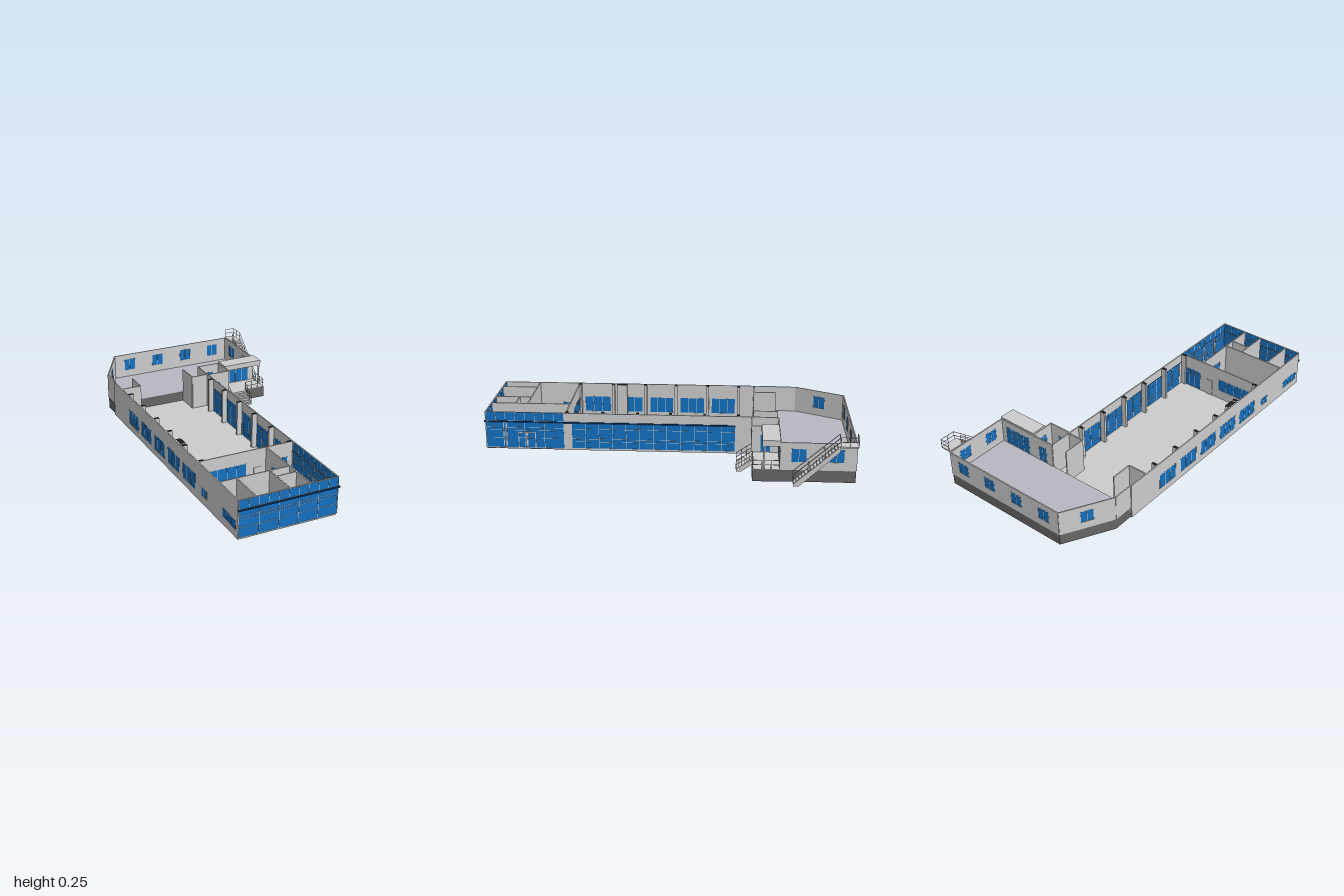
import * as THREE from 'three';

const mat = (color) => new THREE.MeshStandardMaterial({ color, side: THREE.DoubleSide });
const GREY = mat(0xcccccc), BLUE = mat(0x1470c0), NAVY = mat(0x0a3460), DARK = mat(0x666666);
const UPPER = mat(0xb9b6c0), BLACK = mat(0x202020);
const T = 0.006, H = 0.195, RAISED = 0.06, FLOOR = 0.008;

// Plan coordinates: a runs along the front, b runs back from the front.
export function createModel() {
  const model = new THREE.Group();
  const plan = new THREE.Group();
  plan.name = 'building';
  plan.rotation.y = Math.PI / 12;
  plan.position.set(-0.05, 0, 0.987);
  model.add(plan);

  const add = (name, geo, material, parent = plan) => {
    const m = new THREE.Mesh(geo, material);
    m.name = name;
    parent.add(m);
    return m;
  };
  // Box given by its extents in a, y and b
  const block = (name, a0, a1, y0, y1, b0, b1, material = GREY, parent = plan) => {
    const m = add(name, new THREE.BoxGeometry(a1 - a0, y1 - y0, b1 - b0), material, parent);
    m.position.set((a0 + a1) / 2, (y0 + y1) / 2, -(b0 + b1) / 2);
    return m;
  };
  // Horizontal slab from plan corners
  const slab = (name, pts, y0, y1, material) => {
    const shape = new THREE.Shape(pts.map(([a, b]) => new THREE.Vector2(a, b)));
    const geo = new THREE.ExtrudeGeometry(shape, { depth: y1 - y0, bevelEnabled: false });
    geo.rotateX(-Math.PI / 2).translate(0, y0, 0);
    return add(name, geo, material);
  };
  // Group whose x axis follows the line from p to q in plan
  const along = (name, p, q) => {
    const g = new THREE.Group();
    g.name = name;
    g.position.set(p[0], 0, -p[1]);
    g.rotation.y = Math.atan2(q[1] - p[1], q[0] - p[0]);
    plan.add(g);
    return g;
  };
  // Glass pane with mullions at equal columns and given heights
  const glazing = (g, s0, s1, y0, y1, cols = 2, rows = []) => {
    block('glass', s0, s1, y0, y1, -0.002, 0.002, BLUE, g);
    const w = 0.0012, d = 0.0035;
    for (let i = 0; i <= cols; i++) {
      const s = s0 + ((s1 - s0) * i) / cols;
      block('mullion', s - w, s + w, y0, y1, -d, d, GREY, g);
    }
    for (const y of [y0, ...rows, y1]) block('transom', s0, s1, y - w / 2, y + w / 2, -d, d, GREY, g);
  };
  // Wall with glazed openings [s0, s1, y0, y1, cols, rows]
  const wall = (name, p, q, y0, y1, openings = []) => {
    const g = along(name, p, q);
    const len = Math.hypot(q[0] - p[0], q[1] - p[1]);
    const rect = (C, x0, x1, v0, v1) => new C([[x0, v0], [x1, v0], [x1, v1], [x0, v1]].map(c => new THREE.Vector2(...c)));
    const shape = rect(THREE.Shape, 0, len, y0, y1);
    for (const o of openings) {
      shape.holes.push(rect(THREE.Path, o[0], o[1], o[2], o[3]));
      glazing(g, ...o);
    }
    const geo = new THREE.ExtrudeGeometry(shape, { depth: T, bevelEnabled: false });
    add('wallPanel', geo.translate(0, 0, -T / 2), GREY, g);
    return g;
  };
  // Thin rail between two points [a, y, b]
  const rod = (p, q) => {
    const P = new THREE.Vector3(p[0], p[1], -p[2]), Q = new THREE.Vector3(q[0], q[1], -q[2]);
    add('rail', new THREE.TubeGeometry(new THREE.LineCurve3(P, Q), 1, 0.0016, 6), GREY);
  };
  const railing = (p, q, n, h = 0.045) => {
    const at = (t, dy) => p.map((v, i) => v + (q[i] - v) * t + (i === 1 ? dy : 0));
    for (const k of [0.5, 1]) rod(at(0, h * k), at(1, h * k));
    for (let i = 0; i <= n; i++) rod(at(i / n, 0), at(i / n, h));
  };
  // Straight stair climbing towards +b
  const stair = (name, a0, a1, b0, b1, top, n) => {
    const run = (b1 - b0) / n, rise = top / n;
    for (let i = 0; i < n; i++) {
      const y = rise * (i + 1);
      block(name + 'Step', a0, a1, y - rise, y, b0 + i * run, b0 + (i + 1) * run);
    }
    for (const a of [a0, a1]) {
      const side = new THREE.Shape([[b0, 0], [b0 + 0.025, 0], [b1, top - 0.025], [b1, top], [b0, 0.012]].map(c => new THREE.Vector2(...c)));
      const geo = new THREE.ExtrudeGeometry(side, { depth: 0.004, bevelEnabled: false });
      add(name + 'Stringer', geo.rotateY(Math.PI / 2).translate(a - 0.002, 0, 0), GREY);
      railing([a, rise, b0], [a, top, b1], 3);
    }
  };

  // Floors and plinth
  const W = 0.502, E = 0.85, STEP = 1.465, BACK = 1.817;
  slab('hallFloor', [[0, 0], [W, 0], [W, STEP], [0, STEP]], 0.001, FLOOR, GREY);
  slab('base', [[0, 0], [W, 0], [W, STEP], [0, STEP]], 0, 0.004, DARK);
  const rear = [[0.005, STEP], [E, STEP], [E, BACK], [0.138, BACK], [0.005, 1.572]];
  slab('rearPlinth', rear, 0, RAISED - 0.002, DARK);
  slab('rearFloor', rear, RAISED - 0.002, RAISED, UPPER);
  slab('terracePlinth', [[W, 1.335], [0.855, 1.335], [0.855, STEP], [W, STEP]], 0, RAISED - 0.002, DARK);
  block('terraceFloor', W, 0.855, RAISED - 0.002, RAISED, 1.335, STEP);

  // Glazed front and right corner with projecting cornice
  const front = along('glassFront', [0, 0], [W, 0]);
  const corner = along('glassCorner', [W, 0], [W, 0.395]);
  for (const [g, len, n] of [[front, W, 10], [corner, 0.395, 8]]) {
    glazing(g, 0, len, FLOOR, 0.142, n / 2, [0.06, 0.1, 0.115]);
    glazing(g, 0, len, 0.15, H, n);
  }
  block('cornice', -0.004, W + 0.008, 0.141, 0.149, -0.008, 0.003, NAVY);
  block('cornice', W - 0.003, W + 0.008, 0.141, 0.149, -0.008, 1.253, NAVY);
  for (const [s0, s1] of [[0.165, 0.205], [0.21, 0.25], [0.09, 0.105]]) {
    const top = s0 < 0.1 ? 0.14 : 0.09;
    for (const s of [s0, s1]) block('doorFrame', s - 0.002, s + 0.002, FLOOR, top, -0.005, 0.005, GREY, corner);
    block('doorFrame', s0, s1, top - 0.003, top, -0.005, 0.005, GREY, corner);
  }

  // Long side walls of the hall
  wall('rightWall', [W, 0.395], [W, 1.335], 0, H, [[0.04, 0.858, 0.01, 0.141, 12, [0.045, 0.06, 0.112]]]);
  const piers = [0.41, 0.59, 0.765, 0.93, 1.1, 1.267];
  const leftOpenings = [[0.02, 0.15, 0.04, 0.085, 3], [0.31, 0.367, 0.04, 0.085, 2]];
  for (let i = 0; i < 5; i++) leftOpenings.push([piers[i] + 0.022, piers[i + 1] - 0.018, 0.036, 0.12, 3]);
  wall('leftWall', [0, 0], [0, STEP], 0, H, leftOpenings);
  const pier = (a0, a1, b0, b1) => {
    block('pier', a0, a1, FLOOR, H, b0, b1);
    block('pierCap', a0, a1, H, H + 0.0005, b0, b1, BLACK);
  };
  for (const b of piers) {
    pier(0.003, 0.03, b - 0.007, b + 0.007);
    pier(W - 0.03, W - 0.003, b - 0.007, b + 0.007);
  }
  pier(0.003, 0.03, 0.61, 0.665);

  // Front rooms
  wall('hallPartition', [0, 0.405], [0.357, 0.405], 0, H, [[0.05, 0.25, 0.06, 0.13, 4]]);
  wall('glazedPartition', [0.357, 0.405], [W, 0.405], 0, H, [[0.015, 0.13, 0.01, 0.12, 3, [0.09]]]);
  wall('roomPartition', [0, 0.187], [0.36, 0.187], 0, H);
  wall('roomPartition', [0.36, 0], [0.36, 0.187], 0, H);
  wall('roomPartition', [0.36, 0.187], [0.357, 0.405], 0, H, [[0.06, 0.16, 0.01, 0.12, 2]]);
  wall('roomPartition', [0.087, 0], [0.087, 0.187], 0, H);
  wall('roomPartition', [0.255, 0], [0.255, 0.187], 0, H);
  wall('roomPartition', [0.255, 0.125], [0.36, 0.125], 0, H);
  block('hallDoor', 0.29, 0.33, FLOOR, 0.1, 0.4, 0.412);

  // Small rooms at the step between hall and rear wing
  wall('cornerRoomWall', [0, 1.35], [0.106, 1.35], 0, H);
  wall('cornerRoomWall', [0.106, 1.35], [0.106, STEP], 0, H);
  block('cornerRoomDoor', 0.04, 0.075, FLOOR, 0.1, 1.345, 1.355);
  wall('vestibuleWall', [0.411, 1.342], [W, 1.342], 0, H);
  wall('vestibuleWall', [0.411, 1.342], [0.411, STEP], 0, H);
  wall('vestibuleWall', [W, 1.335], [W, STEP], 0, H);
  wall('lobbyFront', [W, 1.335], [0.63, 1.335], RAISED, H, [[0.05, 0.075, 0.11, 0.14, 1]]);
  wall('lobbySide', [0.63, 1.335], [0.63, STEP], RAISED, H, [[0.04, 0.09, 0.062, 0.15, 2]]);
  wall('lobbyBack', [W, STEP], [0.63, STEP], RAISED, H, [[0.04, 0.09, 0.062, 0.15, 2]]);

  // Rear wing walls
  wall('terraceWall', [0.63, STEP], [E, STEP], RAISED, H, [[0.03, 0.19, 0.062, 0.16, 4, [0.135]]]);
  wall('rightRearWall', [E, STEP], [E, BACK], RAISED, H, [[0.05, 0.12, 0.1, 0.165], [0.225, 0.295, 0.1, 0.165]]);
  wall('backWall', [E, BACK], [0.138, BACK], RAISED, H,
    [0.09, 0.267, 0.445, 0.62].map(s => [s - 0.033, s + 0.033, 0.1, 0.165, 2]));
  wall('slantedWall', [0.138, BACK], [0.005, 1.572], RAISED, H, [[0.105, 0.17, 0.1, 0.165, 2]]);
  wall('leftRearWall', [0.005, 1.572], [0.005, STEP], RAISED, H);

  // Terrace canopy, railing and steps
  block('canopy', 0.63, 0.855, 0.175, 0.204, 1.38, STEP);
  block('canopyPost', 0.845, 0.852, RAISED, 0.175, 1.385, 1.392);
  railing([0.74, RAISED, 1.338], [0.852, RAISED, 1.338], 3);
  railing([0.852, RAISED, 1.338], [0.852, RAISED, STEP], 3);
  stair('terraceStair', 0.632, 0.737, 1.26, 1.335, RAISED, 6);

  // Outside stair to roof level
  stair('roofStair', 0.857, 0.907, 1.525, 1.735, 0.2, 16);
  block('roofStairLanding', E, 0.909, 0.194, 0.2, 1.735, BACK);
  railing([0.907, 0.2, 1.735], [0.907, 0.2, BACK], 2);
  railing([0.907, 0.2, BACK], [0.855, 0.2, BACK], 1);
  return model;
}
